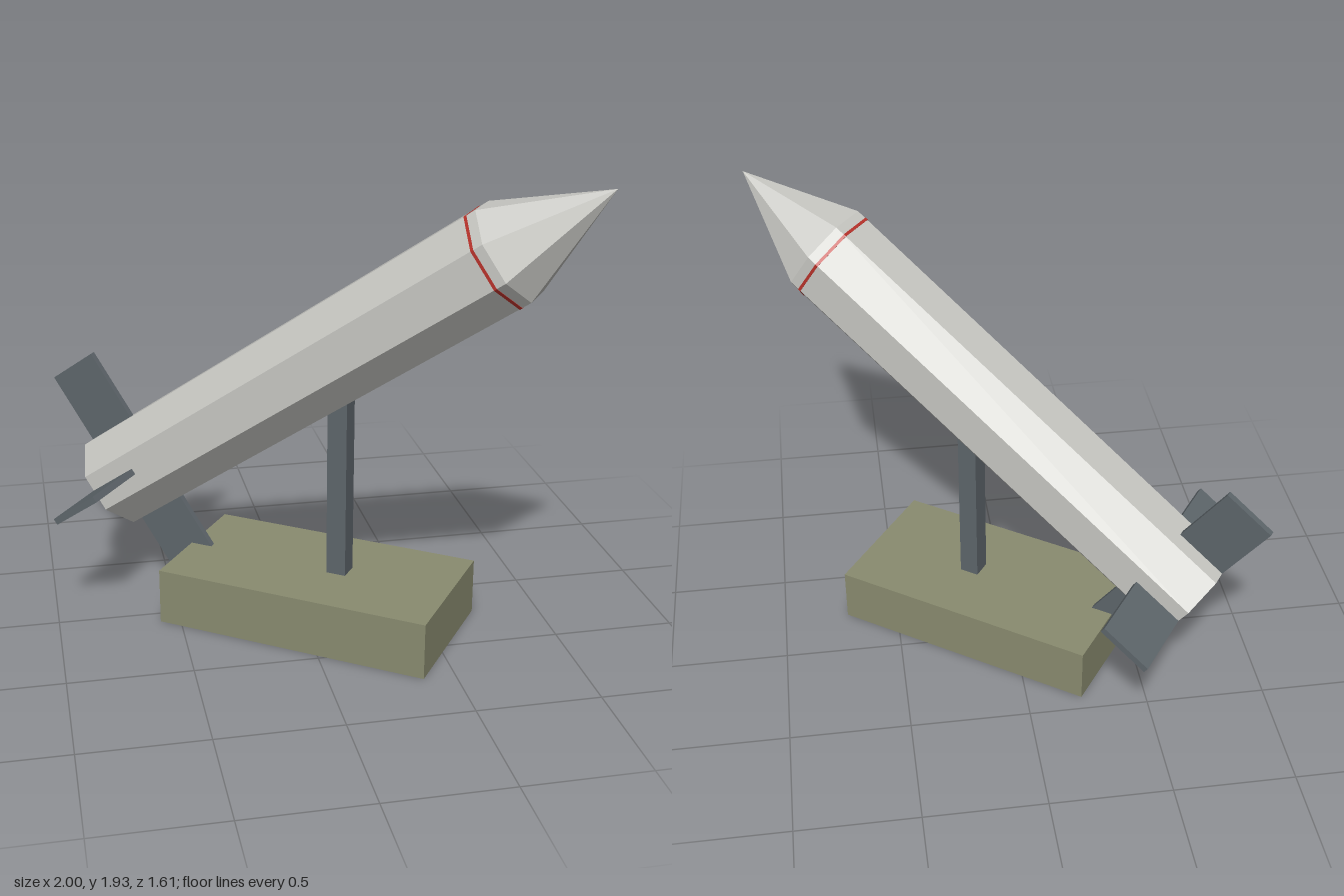
import * as THREE from 'three';

const PITCH = THREE.MathUtils.degToRad(35);
const YAW = THREE.MathUtils.degToRad(-35);
const RADIUS = 0.213;
const BODY_LENGTH = 2.07;
const NOSE_LENGTH = 0.464;

function material(name, color) {
  const m = new THREE.MeshStandardMaterial({ color });
  m.name = name;
  return m;
}

function addMesh(parent, name, geometry, mat) {
  const mesh = new THREE.Mesh(geometry, mat);
  mesh.name = name;
  parent.add(mesh);
  return mesh;
}

// Faceted eight-sided section along +x, with a flat side on top
function octagon(rFront, rBack, length, start, open = false) {
  const g = new THREE.CylinderGeometry(rFront, rBack, length, 8, 1, open)
    .rotateY(Math.PI / 8)
    .rotateZ(-Math.PI / 2)
    .translate(start + length / 2, 0, 0)
    .toNonIndexed();
  g.computeVertexNormals();
  return g;
}

export function createModel() {
  const lightGrey = material('light grey hull', 0xc8c8c3);
  const slate = material('slate metal', 0x5e666b);
  const olive = material('olive base', 0x8a8c70);
  const red = material('red band', 0xb8322a);

  const model = new THREE.Group();
  model.name = 'rocketOnStand';
  model.position.set(0.07, 0, 0.153);
  model.rotation.y = YAW;

  // Stand: block and square post reaching into the hull
  addMesh(model, 'base', new THREE.BoxGeometry(1.163, 0.235, 0.615).translate(0, 0.1175, 0), olive);
  addMesh(model, 'post', new THREE.BoxGeometry(0.083, 0.82, 0.083).translate(0.098, 0.645, 0), slate);

  // Rocket: origin at the tail, axis along +x, then pitched up
  const rocket = new THREE.Group();
  rocket.name = 'rocket';
  rocket.position.set(-0.939, 0.476, 0);
  rocket.rotation.z = PITCH;
  model.add(rocket);

  addMesh(rocket, 'body', octagon(RADIUS, RADIUS, BODY_LENGTH, 0), lightGrey);
  addMesh(rocket, 'noseCone', octagon(0, RADIUS, NOSE_LENGTH, BODY_LENGTH, true), lightGrey);
  addMesh(rocket, 'noseBand', octagon(RADIUS + 0.002, RADIUS + 0.002, 0.012, 2.018), red);

  // Four tail fins around the axis
  for (let i = 0; i < 4; i++) {
    const fin = addMesh(rocket, 'tailFin',
      new THREE.BoxGeometry(0.231, 0.332, 0.027).translate(0.1155, 0.346, 0), slate);
    fin.rotation.x = i * Math.PI / 2;
  }

  const root = new THREE.Group();
  root.name = 'model';
  root.add(model);
  return root;
}
